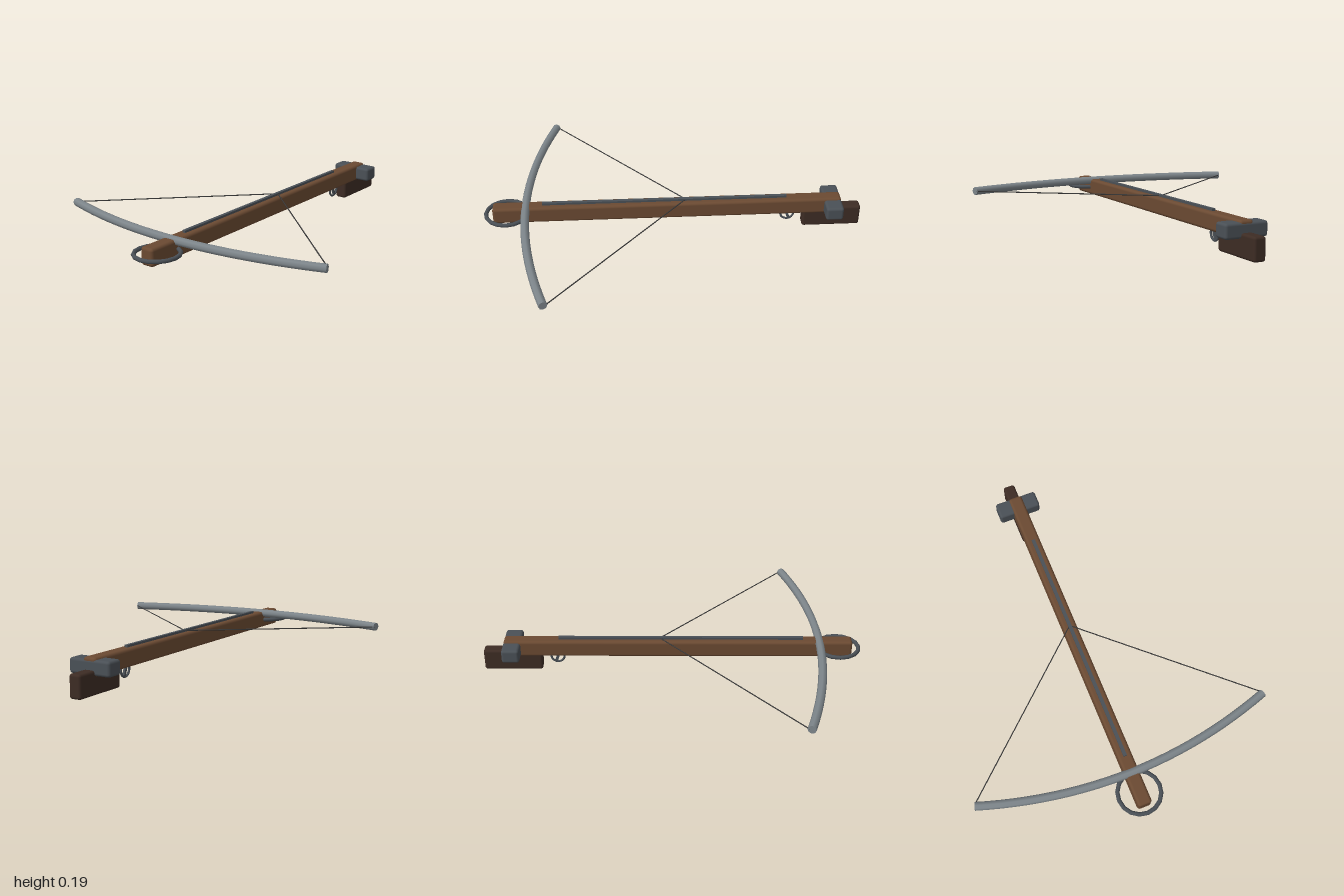
import * as THREE from 'three';
import { RoundedBoxGeometry } from 'three/addons/geometries/RoundedBoxGeometry.js';

const paint = (color) => new THREE.MeshStandardMaterial({ color });
const wood = paint(0x6b4a32);
const darkWood = paint(0x3d2c24);
const iron = paint(0x4a5056);
const steel = paint(0x7d858a);
const cord = paint(0x3a3a3a);

export function createModel() {
  const model = new THREE.Group();

  const add = (name, geometry, material, x = 0, y = 0, z = 0) => {
    const mesh = new THREE.Mesh(geometry, material);
    mesh.name = name;
    mesh.position.set(x, y, z);
    model.add(mesh);
    return mesh;
  };
  const block = (w, h, d, r) => new RoundedBoxGeometry(w, h, d, 2, r);

  // Long stock (tiller), shoulder butt and the cross block at the rear
  add('stock', block(0.074, 0.091, 1.84, 0.015), wood, 0, 0.13, 0.03);
  add('butt', block(0.064, 0.117, 0.31, 0.013), darkWood, 0, 0.0585, -0.845);
  add('rearBlock', block(0.23, 0.075, 0.092, 0.014), iron, 0, 0.128, -0.846);

  // Bolt rail along the top of the stock
  add('boltRail', new THREE.BoxGeometry(0.018, 0.02, 1.29), iron, 0, 0.177, 0.045);

  // Curved bow with closed ends
  const bowY = 0.167, bowRadius = 0.022;
  const tip = new THREE.Vector3(0.787, bowY, 0.645);
  const bowCurve = new THREE.QuadraticBezierCurve3(
    new THREE.Vector3(-tip.x, bowY, tip.z),
    new THREE.Vector3(0, bowY, 0.907),
    tip
  );
  add('bow', new THREE.TubeGeometry(bowCurve, 24, bowRadius, 8), steel);
  for (const t of [0, 1]) {
    const p = bowCurve.getPoint(t);
    const cap = add('bowEnd', new THREE.CircleGeometry(bowRadius, 8), steel, p.x, p.y, p.z);
    const outward = bowCurve.getTangent(t).multiplyScalar(t ? 1 : -1);
    cap.lookAt(p.clone().add(outward));
  }

  // Drawn string, one straight half per side
  const nock = new THREE.Vector3(0, 0.18, -0.065);
  for (const side of [-1, 1]) {
    const end = new THREE.Vector3(side * 0.782, bowY, 0.635);
    const line = new THREE.LineCurve3(end, nock);
    add('bowstring', new THREE.TubeGeometry(line, 1, 0.003, 6), cord);
  }

  // Flat foot stirrup ring around the nose
  const stirrup = new THREE.TorusGeometry(0.11, 0.011, 8, 16);
  stirrup.rotateX(Math.PI / 2);
  add('stirrup', stirrup, iron, 0, 0.128, 0.877);

  // Trigger guard ring and slanted trigger
  const guard = new THREE.TorusGeometry(0.035, 0.006, 6, 16);
  guard.rotateY(Math.PI / 2);
  add('triggerGuard', guard, iron, 0, 0.068, -0.61);
  const trigger = add('trigger', new THREE.BoxGeometry(0.012, 0.065, 0.014), iron, 0, 0.065, -0.61);
  trigger.rotation.x = 0.35;

  return model;
}
